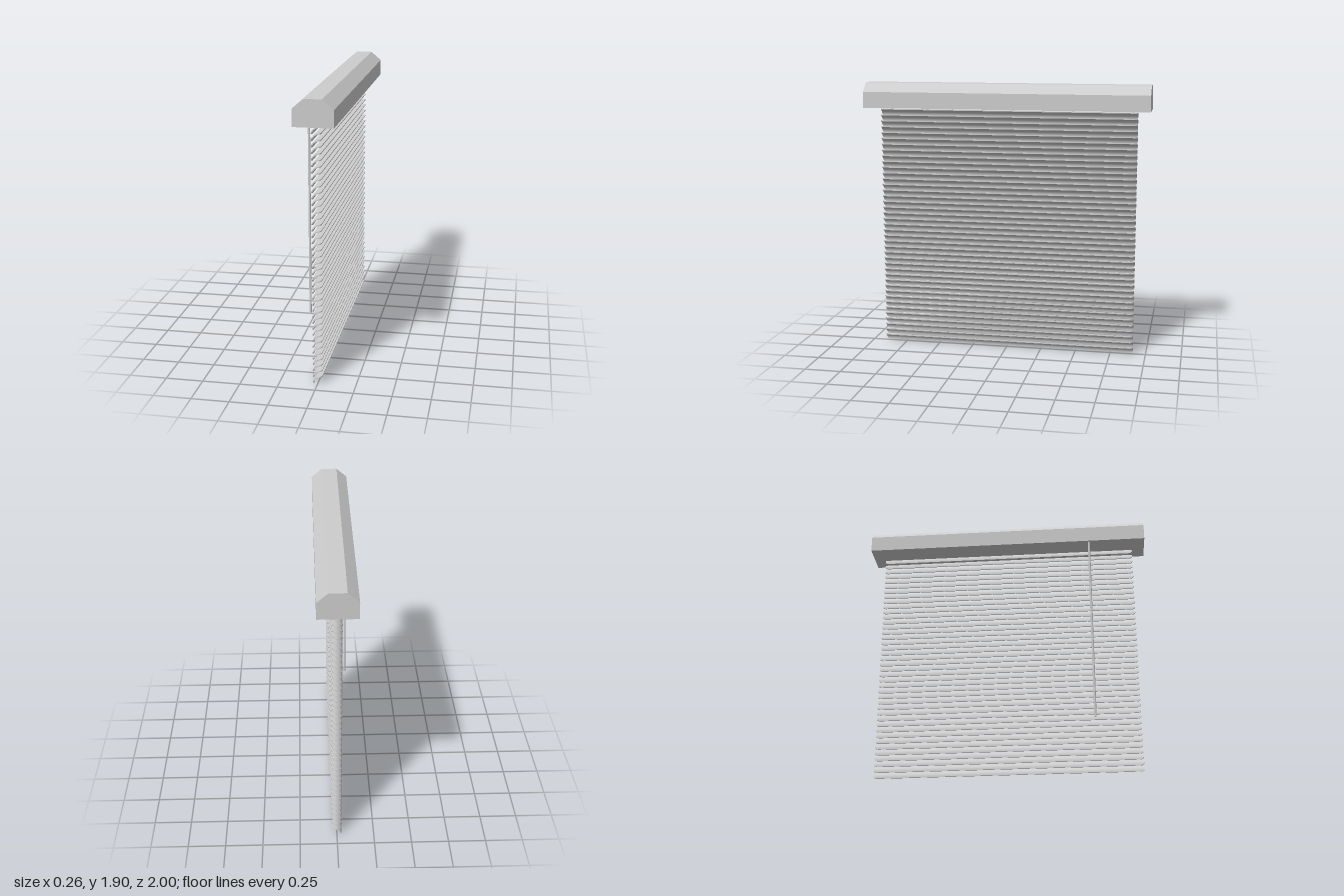
import * as THREE from 'three';

const SLATS = 41, PITCH = 0.0415, HALF_LENGTH = 0.91, THICKNESS = 0.007;

// One curved slat: a thin box bent to a quarter ellipse, with rounded corners
function slatGeometry() {
  const radius = 0.022, arc = 0.088;
  const inset = [0, 0.003, 0.009, radius];
  const stations = [
    ...inset.map((d) => -HALF_LENGTH + d),
    ...inset.slice().reverse().map((d) => HALF_LENGTH - d),
  ];
  const last = stations.length - 1;
  const geometry = new THREE.BoxGeometry(1, 1, last, 10, 1, last);
  const p = geometry.attributes.position;
  for (let i = 0; i < p.count; i++) {
    const z = stations[Math.round(p.getZ(i) + last / 2)];
    const d = Math.max(0, radius - (HALF_LENGTH - Math.abs(z)));
    const cut = (radius - Math.sqrt(Math.max(0, radius * radius - d * d))) / arc;
    const u = cut + (p.getX(i) + 0.5) * (1 - 2 * cut);
    const angle = Math.PI * (1 - u / 2);
    const depth = p.getY(i) > 0 ? 0 : THICKNESS;
    p.setXYZ(i,
      0.029 + (0.062 - depth) * Math.cos(angle),
      (0.052 - depth) * Math.sin(angle),
      z);
  }
  geometry.computeVertexNormals();
  return geometry;
}

export function createModel() {
  const group = new THREE.Group();
  group.name = 'windowBlind';
  const grey = new THREE.MeshStandardMaterial({ color: 0xcccccc });
  grey.name = 'light grey';

  // Head rail with chamfered top edges
  const profile = new THREE.Shape([
    [-0.129, 1.724], [0.129, 1.724], [0.129, 1.835],
    [0.056, 1.897], [-0.056, 1.897], [-0.129, 1.835],
  ].map(([x, y]) => new THREE.Vector2(x, y)));
  const railGeometry = new THREE.ExtrudeGeometry(profile, { depth: 2, bevelEnabled: false });
  railGeometry.translate(0, 0, -1);
  const rail = new THREE.Mesh(railGeometry, grey);
  rail.name = 'headRail';
  group.add(rail);

  // Stack of slats
  const slats = new THREE.Group();
  slats.name = 'slats';
  const slat = slatGeometry();
  for (let i = 0; i < SLATS; i++) {
    const mesh = new THREE.Mesh(slat, grey);
    mesh.name = 'slat' + (i + 1);
    mesh.position.y = i * PITCH;
    slats.add(mesh);
  }
  group.add(slats);

  // Tilt wand hanging from the rail
  const wand = new THREE.Mesh(new THREE.CylinderGeometry(0.008, 0.008, 1.36, 16), grey);
  wand.name = 'tiltWand';
  wand.position.set(-0.107, 1.05, 0.6);
  group.add(wand);

  return group;
}
